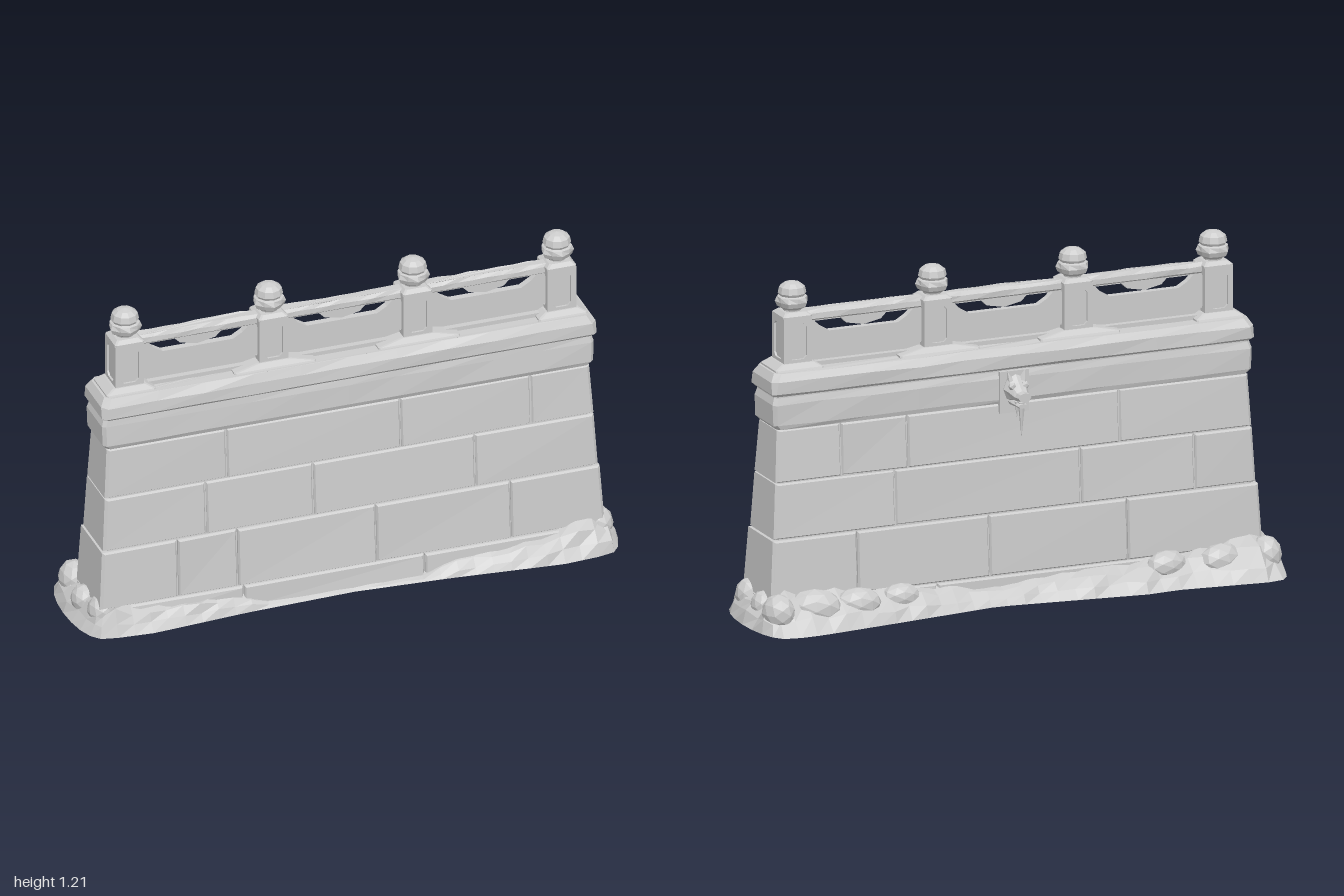
import * as THREE from 'three';

const stone = new THREE.MeshStandardMaterial({ color: 0xcccccc, side: THREE.DoubleSide });
stone.name = 'pale stone';

let seed = 7;
const rand = () => ((seed = (seed * 16807) % 2147483647) / 2147483647);
const jit = (a) => (rand() - 0.5) * 2 * a;

// Wall batter: front face, back face and half length at a height
const zFront = (y) => 0.165 - 0.064 * y;
const zBack = (y) => -0.088 + 0.054 * y;
const halfX = (y) => 0.93 - 0.06 * y;
const zMid = 0.04;

function mesh(parent, name, geometry, x = 0, y = 0, z = 0) {
  const g = geometry.index ? geometry.toNonIndexed() : geometry;
  g.computeVertexNormals();
  const m = new THREE.Mesh(g, stone);
  m.name = name;
  m.position.set(x, y, z);
  parent.add(m);
  return m;
}

// Faceted skin through closed loops of points, counter-clockwise seen from the last loop
function loft(loops, capStart = true, capEnd = true) {
  const pos = [];
  const tri = (a, b, c) => pos.push(...a, ...b, ...c);
  const n = loops[0].length;
  for (let i = 0; i < loops.length - 1; i++) {
    for (let j = 0; j < n; j++) {
      const k = (j + 1) % n;
      tri(loops[i][j], loops[i][k], loops[i + 1][k]);
      tri(loops[i][j], loops[i + 1][k], loops[i + 1][j]);
    }
  }
  const first = loops[0], last = loops[loops.length - 1];
  for (let j = 1; j < n - 1; j++) {
    if (capStart) tri(first[0], first[j + 1], first[j]);
    if (capEnd) tri(last[0], last[j], last[j + 1]);
  }
  return new THREE.BufferGeometry().setAttribute('position', new THREE.Float32BufferAttribute(pos, 3));
}

// Horizontal rectangle with cut corners, worn by a small jitter
function slabLoop(y, hx, zb, zf, wear = 0, c = 0.012, n = 10) {
  const pts = [];
  for (let i = 0; i <= n; i++) pts.push([-(hx - c) + (2 * (hx - c) * i) / n, y + jit(wear), zf + jit(wear)]);
  pts.push([hx, y, zf - c], [hx, y, zb + c]);
  for (let i = 0; i <= n; i++) pts.push([hx - c - (2 * (hx - c) * i) / n, y + jit(wear), zb + jit(wear)]);
  pts.push([-hx, y, zb + c], [-hx, y, zf - c]);
  return pts;
}

// One chamfered wall stone reaching from the middle plane to the front or back face
function wallBlock(parent, x0, x1, y0, y1, front, step) {
  const g = 0.0025, b = 0.005;
  const endL = x0 === null, endR = x1 === null;
  const face = (y) => (front ? zFront(y) + step : zBack(y) - step);
  const s = front ? 1 : -1;
  const corners = [[0, 0], [1, 0], [1, 1], [0, 1]];
  const bulge = corners.map(() => jit(0.0035));
  const loop = (inset, depth) => {
    const pts = corners.map(([u, v], i) => {
      const y = v ? y1 - g - inset : y0 + g + inset;
      const hx = halfX(y) + step;
      const left = endL ? -hx + inset * 2 : x0 + g + inset;
      const right = endR ? hx - inset * 2 : x1 - g - inset;
      return [u ? right : left, y, depth === null ? zMid : face(y) + s * (bulge[i] - depth)];
    });
    return front ? pts : pts.reverse();
  };
  mesh(parent, 'wallBlock', loft([loop(0, null), loop(0, b * 1.6), loop(b, 0)]));
}

function buildWall(root) {
  const wall = new THREE.Group();
  wall.name = 'wall';
  root.add(wall);
  const core = [0, 0.72].map((y) => slabLoop(y, halfX(y) - 0.01, zBack(y) + 0.009, zFront(y) - 0.009));
  mesh(wall, 'wallCore', loft(core));
  const courses = [
    { y: [0, 0.09], step: 0.005, front: [-0.4, 0.265], back: [-0.5, 0.3] },
    { y: [0.09, 0.31], step: 0.005, front: [-0.64, -0.42, 0.09, 0.585], back: [-0.42, 0.1, 0.6] },
    { y: [0.31, 0.51], step: 0, front: [-0.53, -0.135, 0.46], back: [-0.68, -0.25, 0.45] },
    { y: [0.51, 0.7], step: 0, front: [-0.45, 0.19, 0.67], back: [-0.4, 0.4, 0.65] },
  ];
  for (const c of courses) {
    for (const side of ['front', 'back']) {
      const xs = [null, ...c[side], null];
      for (let i = 0; i < xs.length - 1; i++) wallBlock(wall, xs[i], xs[i + 1], ...c.y, side === 'front', c.step);
    }
  }
  // Moulded band and coping
  mesh(wall, 'band', loft([
    slabLoop(0.7, 0.888, -0.05, 0.12), slabLoop(0.715, 0.902, -0.056, 0.126, 0.002),
    slabLoop(0.79, 0.905, -0.056, 0.124, 0.002), slabLoop(0.815, 0.897, -0.05, 0.12), slabLoop(0.825, 0.897, -0.05, 0.12),
  ]));
  mesh(wall, 'coping', loft([
    slabLoop(0.82, 0.9, -0.052, 0.13), slabLoop(0.83, 0.91, -0.064, 0.14, 0.002),
    slabLoop(0.872, 0.91, -0.064, 0.138, 0.003, 0.02), slabLoop(0.9, 0.893, -0.048, 0.122, 0.003, 0.02),
  ]));
}

// Thin frame with a cut-corner opening
function frame(w, h) {
  const s = new THREE.Shape([[-w, 0], [w, 0], [w, h], [-w, h]].map((p) => new THREE.Vector2(...p)));
  const a = w - 0.02, c = 0.012, lo = 0.03, hi = h - 0.022;
  s.holes.push(new THREE.Path([[-a, lo + c], [-a, hi - c], [-a + c, hi], [a - c, hi], [a, hi - c], [a, lo + c], [a - c, lo], [-a + c, lo]]
    .map((p) => new THREE.Vector2(...p))));
  return new THREE.ExtrudeGeometry(s, { depth: 0.008, bevelEnabled: false });
}

function buildPost(root, x) {
  const post = new THREE.Group();
  post.name = 'post';
  post.position.set(x, 0, zMid);
  root.add(post);
  mesh(post, 'postCore', new THREE.BoxGeometry(0.092, 0.19, 0.09), 0, 0.99, 0);
  for (let i = 0; i < 4; i++) {
    const holder = new THREE.Group();
    holder.name = 'postFrame';
    holder.rotation.y = (i * Math.PI) / 2;
    mesh(holder, 'frame', frame(0.053, 0.18), 0, 0.905, 0.045);
    post.add(holder);
  }
  const ring = (y, hx, hz) => slabLoop(y, hx, -hz, hz, 0, 0.006, 1);
  mesh(post, 'postCap', loft([ring(1.084, 0.054, 0.054), ring(1.09, 0.054, 0.054), ring(1.102, 0.04, 0.04)]));
  const low = Math.min(0.15, 0.885 - Math.abs(x));
  mesh(post, 'postFoot', loft([ring(0.895, low, 0.075), ring(0.906, low, 0.07), ring(0.924, 0.06, 0.058)]));
  // Carved bud finial
  const profile = [[0.03, 1.095], [0.033, 1.107], [0.05, 1.118], [0.057, 1.135], [0.053, 1.152], [0.045, 1.156],
    [0.05, 1.165], [0.045, 1.187], [0.028, 1.2], [0, 1.206]].map((p) => new THREE.Vector2(...p));
  const bud = new THREE.LatheGeometry(profile, 10);
  const p = bud.attributes.position;
  for (let i = 0; i < p.count; i++) {
    if (p.getY(i) < 1.15 && p.getY(i) > 1.11) {
      const k = 1 + 0.06 * Math.sin(5 * Math.atan2(p.getZ(i), p.getX(i)));
      p.setX(i, p.getX(i) * k);
      p.setZ(i, p.getZ(i) * k);
    }
  }
  mesh(post, 'finial', bud);
}

function buildParapet(root) {
  const parapet = new THREE.Group();
  parapet.name = 'parapet';
  root.add(parapet);
  for (const x of [-0.795, -0.265, 0.265, 0.795]) buildPost(parapet, x);
  mesh(parapet, 'sill', new THREE.BoxGeometry(1.58, 0.02, 0.07), 0, 0.905, zMid);
  for (const x of [-0.53, 0, 0.53]) {
    // Pierced panel with a hanging centre bracket
    const s = new THREE.Shape([[-0.22, 0.9], [0.22, 0.9], [0.22, 1.07], [-0.22, 1.07]].map((p) => new THREE.Vector2(...p)));
    s.holes.push(new THREE.Path([[-0.185, 1.055], [-0.085, 1.055], [-0.065, 1.035], [-0.03, 1.028], [0, 1.022], [0.03, 1.028],
      [0.065, 1.035], [0.085, 1.055], [0.185, 1.055], [0.165, 1.035], [0.13, 1.014], [-0.13, 1.014], [-0.165, 1.035]]
      .map((p) => new THREE.Vector2(...p))));
    mesh(parapet, 'panel', new THREE.ExtrudeGeometry(s, { depth: 0.026, bevelEnabled: false }), x, 0, zMid - 0.013);
    const ring = (y, hz, wear) => slabLoop(y, 0.22, -hz, hz, wear, 0.002, 8);
    mesh(parapet, 'handrail', loft([ring(1.06, 0.018, 0), ring(1.066, 0.025, 0.001), ring(1.085, 0.025, 0.002), ring(1.097, 0.016, 0.003)]), x, 0, zMid);
  }
}

// Beast-head water spout with icicles on the back
function buildSpout(root) {
  const spout = new THREE.Group();
  spout.name = 'waterSpout';
  root.add(spout);
  mesh(spout, 'backPlate', new THREE.BoxGeometry(0.11, 0.15, 0.02), 0, 0.742, -0.055);
  const section = (z, y, w, h) => Array.from({ length: 8 }, (_, i) => {
    const a = (-i / 8) * Math.PI * 2;
    return [w * Math.cos(a), y + h * Math.sin(a), z];
  });
  mesh(spout, 'head', loft([section(-0.05, 0.75, 0.038, 0.045), section(-0.075, 0.757, 0.046, 0.05),
    section(-0.1, 0.75, 0.036, 0.034), section(-0.13, 0.74, 0.027, 0.02), section(-0.156, 0.742, 0.024, 0.017)]));
  mesh(spout, 'jaw', loft([section(-0.05, 0.712, 0.028, 0.02), section(-0.1, 0.71, 0.024, 0.013), section(-0.14, 0.708, 0.018, 0.008)]));
  for (const s of [-1, 1]) {
    mesh(spout, 'horn', new THREE.ConeGeometry(0.016, 0.05, 5), s * 0.026, 0.8, -0.078).rotation.z = -s * 0.3;
    mesh(spout, 'brow', new THREE.IcosahedronGeometry(0.015, 0), s * 0.024, 0.772, -0.1);
  }
  for (const [x, z, r, h] of [[0, -0.125, 0.013, 0.13], [0.013, -0.115, 0.008, 0.06]]) {
    mesh(spout, 'icicle', new THREE.ConeGeometry(r, h, 6), x, 0.72 - h / 2, z).rotation.x = Math.PI;
  }
}

// Linear lookup along x
function along(table, x) {
  for (let i = 1; i < table.length; i++) {
    const [a, u] = table[i - 1], [b, v] = table[i];
    if (x <= b || i === table.length - 1) return u + (v - u) * Math.min(1, Math.max(0, (x - a) / (b - a)));
  }
}

function buildDrift(root) {
  const drift = new THREE.Group();
  drift.name = 'drift';
  root.add(drift);
  const frontZ = [[-0.9, 0.21], [-0.75, 0.222], [-0.4, 0.195], [0, 0.182], [0.35, 0.205], [0.75, 0.245], [0.9, 0.235]];
  const backZ = [[-0.9, -0.25], [-0.55, -0.21], [-0.45, -0.22], [0.1, -0.15], [0.5, -0.2], [0.8, -0.235], [0.9, -0.235]];
  const frontH = [[-0.9, 0.11], [-0.7, 0.075], [-0.4, 0.065], [-0.3, 0.015], [0.25, 0.015], [0.35, 0.05], [0.65, 0.075], [0.9, 0.12]];
  const backH = [[-0.9, 0.13], [-0.6, 0.09], [-0.2, 0.075], [0.1, 0.06], [0.4, 0.09], [0.7, 0.12], [0.9, 0.13]];
  // Outer edge, inner edge and height for each station around the wall
  const stations = [];
  const edge = (x, front) => stations.push({
    o: [x, along(front ? frontZ : backZ, x)], i: [x, front ? 0.15 : -0.07], h: along(front ? frontH : backH, x),
  });
  const end = (s) => {
    const zf = along(frontZ, s * 0.9), zb = along(backZ, s * 0.9), m = (zf + zb) / 2, r = (zf - zb) / 2;
    for (let k = 1; k < 10; k++) {
      const a = s * (Math.PI / 2 - (k / 10) * Math.PI);
      const z = m + r * Math.sin(a);
      stations.push({ o: [s * (0.88 + 0.12 * Math.cos(a) ** 0.6), z], i: [s * 0.91, Math.min(0.15, Math.max(-0.07, z))], h: 0.085 + 0.03 * rand() });
    }
  };
  for (let i = 0; i <= 28; i++) edge(-0.88 + (1.76 * i) / 28, true);
  end(1);
  for (let i = 0; i <= 28; i++) edge(0.88 - (1.76 * i) / 28, false);
  end(-1);
  const loops = [[0, 0], [0.22, 0.42], [0.55, 0.8], [1, 1]].map(([t, v]) => stations.map(({ o, i, h }) => {
    const k = t > 0 && t < 1 ? t + jit(0.12) : t;
    return [o[0] + (i[0] - o[0]) * k, h * v * (v > 0 ? 1 + jit(0.18) : 1), o[1] + (i[1] - o[1]) * k];
  }));
  mesh(drift, 'driftSkin', loft(loops, false, false));
  // Boulders at the ends and along the back
  const rocks = [[-0.92, -0.13, 0.07], [-0.94, 0.02, 0.055], [-0.91, 0.12, 0.06], [0.92, -0.13, 0.07], [0.93, -0.02, 0.055],
    [0.92, 0.12, 0.065], [-0.75, -0.13, 0.06], [-0.55, -0.12, 0.055], [0.45, -0.11, 0.05], [0.62, -0.13, 0.06], [0.78, -0.12, 0.07]];
  for (const [x, z, r] of rocks) {
    const rock = mesh(drift, 'boulder', new THREE.IcosahedronGeometry(r, 1), x, 0.068, z);
    rock.scale.set(Math.abs(x) > 0.9 ? 0.8 : 1.4, 0.95, 0.9);
    rock.rotation.y = jit(0.4);
  }
}

export function createModel() {
  seed = 7;
  const root = new THREE.Group();
  root.name = 'balustradedWall';
  buildWall(root);
  buildParapet(root);
  buildSpout(root);
  buildDrift(root);
  return root;
}
